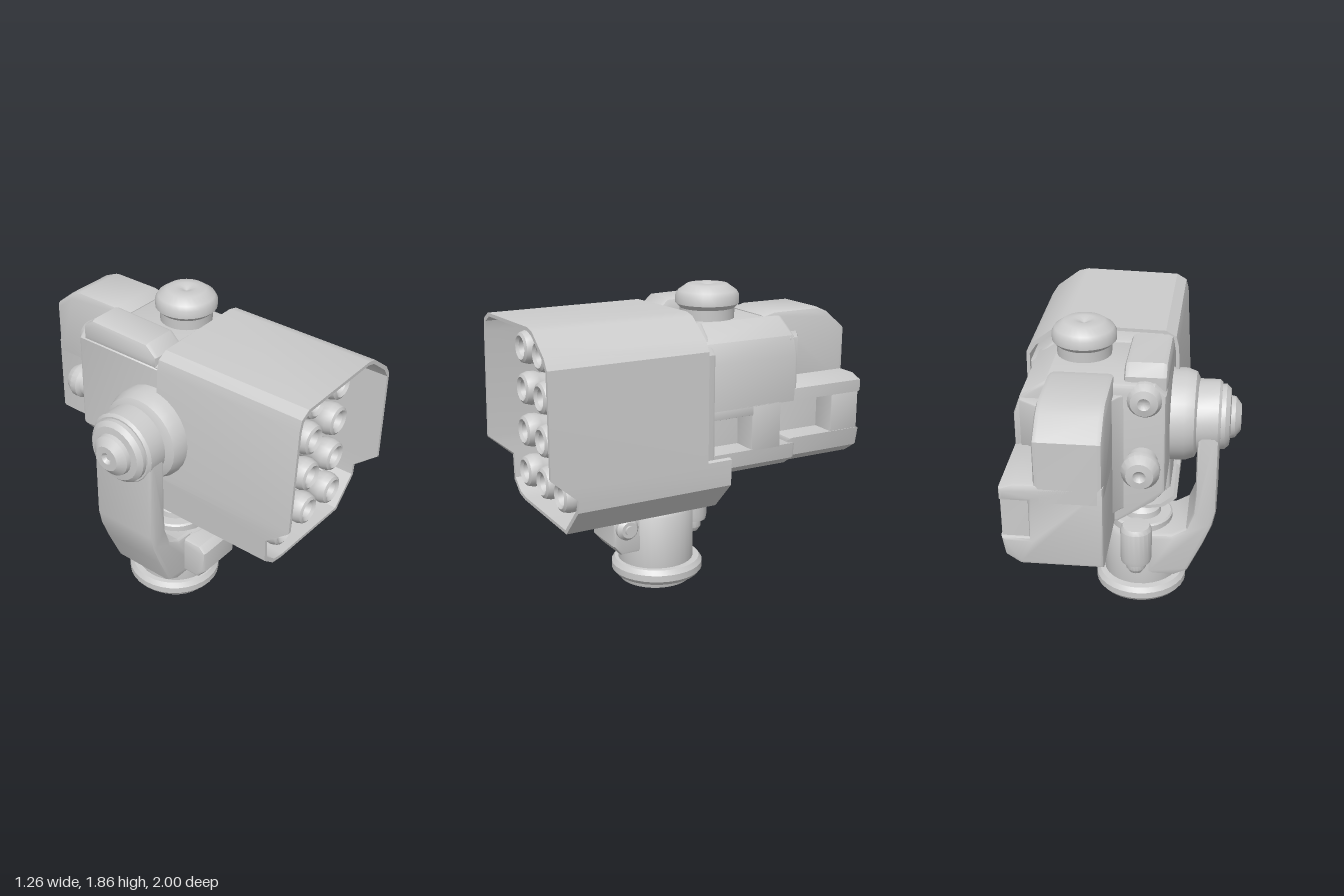
import * as THREE from 'three';
import { toCreasedNormals } from 'three/addons/utils/BufferGeometryUtils.js';

const grey = new THREE.MeshStandardMaterial({ color: 0xcccccc });
const greyOpen = new THREE.MeshStandardMaterial({ color: 0xcccccc, side: THREE.DoubleSide });

export function createModel() {
  const root = new THREE.Group();

  const add = (name, geo, material = grey, crease = 0.6) => {
    const mesh = new THREE.Mesh(toCreasedNormals(geo, crease), material);
    mesh.name = name;
    root.add(mesh);
    return mesh;
  };
  const extrude = (pts, depth, bevel) => new THREE.ExtrudeGeometry(
    new THREE.Shape(pts.map(([a, b]) => new THREE.Vector2(a, b))), {
      depth: depth - 2 * bevel, bevelEnabled: bevel > 0, bevelThickness: bevel,
      bevelSize: bevel, bevelOffset: -bevel, bevelSegments: 2,
    }).translate(0, 0, bevel);
  // (x, y) section swept from z0 to z1
  const alongZ = (name, pts, z0, z1, bevel = 0.02) =>
    add(name, extrude(pts, z1 - z0, bevel).translate(0, 0, z0));
  // (z, y) profile swept from x0 to x1
  const alongX = (name, pts, x0, x1, bevel = 0.02) =>
    add(name, extrude(pts.map(([z, y]) => [-z, y]), x1 - x0, bevel)
      .rotateY(Math.PI / 2).translate(x0, 0, 0));
  // (radius, height) profile turned about an axis
  const turned = (name, pts, axis, x, y, z, sides = 28) => {
    const geo = new THREE.LatheGeometry(pts.map(([r, h]) => new THREE.Vector2(r, h)), sides);
    if (axis === '+z') geo.rotateX(Math.PI / 2);
    if (axis === '-z') geo.rotateX(-Math.PI / 2);
    if (axis === '-x') geo.rotateZ(Math.PI / 2);
    if (axis === '+x') geo.rotateZ(-Math.PI / 2);
    return add(name, geo.translate(x, y, z));
  };
  const rect = (a0, a1, b0, b1) => [[a0, b0], [a1, b0], [a1, b1], [a0, b1]];

  // Shroud: thin open sleeve, counterclockwise from the front; entries are x, y, rear z
  const loop = [
    [-0.12, 0.62, -0.08], [0.46, 0.61, -0.08], [0.62, 0.78, -0.08], [0.625, 0.85, -0.08],
    [0.625, 0.93, -0.08], [0.625, 0.93, 0.07], [0.625, 0.98, 0.07], [0.62, 1.55, 0.07],
    [0.58, 1.61, 0.07], [0.44, 1.715, 0.07], [0.38, 1.73, 0.07], [-0.19, 1.715, 0.07],
    [-0.25, 1.68, 0.07], [-0.265, 1.62, 0.07], [-0.295, 0.98, 0.07], [-0.295, 0.93, 0.07],
    [-0.295, 0.93, -0.08], [-0.29, 0.85, -0.08], [-0.28, 0.7, -0.08], [-0.2, 0.635, -0.08],
  ];
  const frontZ = (y) => 0.85 + 0.15 * THREE.MathUtils.clamp((y - 0.85) / 0.13, 0, 1);
  const corners = loop.map(([x, y, back]) => {
    const ix = 0.17 + (x - 0.17) * 0.957, iy = 1.17 + (y - 1.17) * 0.965;
    const front = frontZ(y);
    return [[x, y, back], [x, y, front], [ix, iy, front], [ix, iy, back]];
  });
  const pos = [];
  corners.forEach((a, i) => {
    const b = corners[(i + 1) % corners.length];
    for (let k = 0; k < 4; k++) {
      const n = (k + 1) % 4;
      pos.push(...a[k], ...b[k], ...b[n], ...a[k], ...b[n], ...a[n]);
    }
  });
  const sleeve = new THREE.BufferGeometry();
  sleeve.setAttribute('position', new THREE.Float32BufferAttribute(pos, 3));
  add('shroud', sleeve, greyOpen, 0.5);

  // Block carrying the launch tubes
  alongZ('tubeBlock', [[-0.17, 0.66], [0.44, 0.66], [0.585, 0.8], [0.585, 1.52], [0.43, 1.67],
    [-0.18, 1.67], [-0.235, 1.61], [-0.235, 0.72]], 0, 0.32);
  for (const x of [-0.105, 0.14, 0.385]) {
    for (const y of [0.8, 1.04, 1.285, 1.52]) {
      turned('launchTube', [[0.08, 0.28], [0.08, 0.74], [0.094, 0.77], [0.096, 0.81], [0.085, 0.845],
        [0.068, 0.855], [0.052, 0.84], [0.045, 0.8], [0, 0.79]], '+z', x, y, 0, 20);
    }
  }

  // Main housing with a side channel, partly filled to leave two vents
  alongZ('housing', [[0.02, 0.81], [0.5, 0.81], [0.57, 0.86], [0.58, 0.95], [0.43, 0.95], [0.43, 1.2],
    [0.58, 1.2], [0.58, 1.46], [0.54, 1.57], [0.4, 1.66], [-0.18, 1.66], [-0.24, 1.6],
    [-0.24, 1.02], [-0.18, 0.95]], -0.54, 0.08);
  alongX('ventBridge', rect(-0.43, -0.24, 0.94, 1.21), 0.4, 0.58, 0.005);
  alongX('ventTopFill', rect(-0.25, 0.07, 1.15, 1.21), 0.4, 0.58, 0.005);

  // Tail: wide lower part and narrow upper part
  alongZ('tailLower', [[0.04, 0.815], [0.48, 0.815], [0.56, 0.87], [0.58, 0.98], [0.43, 0.98],
    [0.43, 1.2], [0.58, 1.2], [0.58, 1.27], [0.5, 1.3], [0.04, 1.3]], -1, -0.5);
  alongX('tailVentEnd', [[-0.79, 0.97], [-0.98, 0.97], [-0.98, 1.21], [-0.79, 1.21]], 0.4, 0.575, 0.005);
  alongX('tailUpper', [[-0.42, 1.2], [-0.42, 1.665], [-0.5, 1.685], [-0.8, 1.685], [-0.88, 1.65],
    [-1, 1.55], [-1, 1.2]], 0.04, 0.4, 0.03);
  // Sloping shoulders beside the tail
  const shoulder = (name, plan, y0, y1) => add(name, extrude(plan.map(([x, z]) => [x, -z]), y1 - y0, 0.01)
    .rotateX(-Math.PI / 2).translate(0, y0, 0));
  shoulder('rightShoulder', [[0.37, -0.5], [0.55, -0.5], [0.54, -0.56], [0.42, -0.64], [0.37, -0.68]], 1.25, 1.56);
  shoulder('leftShoulder', [[0.06, -0.5], [-0.06, -0.5], [0.01, -0.56], [0.06, -0.64]], 0.9, 1.6);

  // Roof box and dome
  alongX('roofBox', [[0.04, 1.6], [0.04, 1.67], [-0.03, 1.735], [-0.43, 1.745], [-0.5, 1.69], [-0.5, 1.6]],
    -0.245, -0.01, 0.03);
  turned('dome', [[0.15, 1.6], [0.155, 1.72], [0.18, 1.745], [0.18, 1.79], [0.165, 1.815], [0.115, 1.85],
    [0.06, 1.855], [0.025, 1.845], [0, 1.83]], 'y', 0.245, 0, -0.14);

  // Rear knobs
  turned('upperKnob', [[0.1, 0.48], [0.1, 0.53], [0.075, 0.57], [0.035, 0.58], [0.02, 0.57], [0, 0.565]],
    '-z', -0.125, 1.57, 0, 20);
  turned('lowerKnob', [[0.085, 0.48], [0.085, 0.6], [0.105, 0.62], [0.105, 0.66], [0.075, 0.71],
    [0.035, 0.715], [0.02, 0.7], [0, 0.695]], '-z', -0.115, 1.21, 0, 20);

  // Tilt pivot on the right side
  turned('pivotMount', [[0.27, 0.2], [0.27, 0.32], [0.25, 0.375], [0.2, 0.4], [0, 0.4]], '-x', 0, 1.215, 0.03);
  turned('pivotHub', [[0.215, 0.385], [0.215, 0.51], [0.2, 0.525], [0.19, 0.525], [0.19, 0.55],
    [0.165, 0.575], [0.125, 0.58], [0.12, 0.605], [0.075, 0.64], [0.035, 0.64], [0.02, 0.62], [0, 0.62]],
    '-x', 0, 1.215, 0.02);

  // Curved support arm
  alongZ('supportArm', [[-0.52, 1.22], [-0.52, 0.68], [-0.5, 0.58], [-0.45, 0.45], [-0.36, 0.25],
    [-0.28, 0.21], [-0.1, 0.21], [-0.1, 0.49], [-0.26, 0.5], [-0.345, 0.55], [-0.385, 0.66], [-0.395, 0.8],
    [-0.395, 1.22]], -0.19, 0.23, 0.025);

  // Base column with foot and ring
  turned('baseColumn', [[0, 0], [0.22, 0.01], [0.23, 0.04], [0.23, 0.46], [0.215, 0.485], [0.19, 0.485],
    [0.19, 0.53], [0.18, 0.54], [0.12, 0.54], [0.115, 0.575], [0.08, 0.605], [0, 0.61]], 'y', -0.06, 0, 0.03, 32);
  turned('baseRing', [[0.22, 0.04], [0.26, 0.045], [0.28, 0.07], [0.28, 0.11], [0.26, 0.138], [0.22, 0.142]],
    'y', -0.06, 0, 0.02, 32);

  // Front bracket with cross pin
  alongX('frontBracket', [[0.1, 0.24], [0.33, 0.24], [0.38, 0.3], [0.38, 0.44], [0.34, 0.48], [0.1, 0.48]],
    -0.22, 0.08);
  turned('crossPin', [[0.07, -0.02], [0.07, 0.1], [0.05, 0.125], [0.03, 0.125], [0.03, 0.14], [0, 0.14]],
    '+x', 0, 0.41, 0.3, 20);

  // Rear upright canister with a bottom knob
  turned('rearCanister', [[0, 0.26], [0.04, 0.26], [0.06, 0.29], [0.06, 0.33], [0.09, 0.34], [0.095, 0.37],
    [0.095, 0.56], [0.08, 0.585], [0, 0.59]], 'y', -0.05, 0, -0.22, 20);
  alongX('canisterBracket', rect(-0.22, -0.08, 0.34, 0.48), -0.13, 0.03);

  return root;
}
